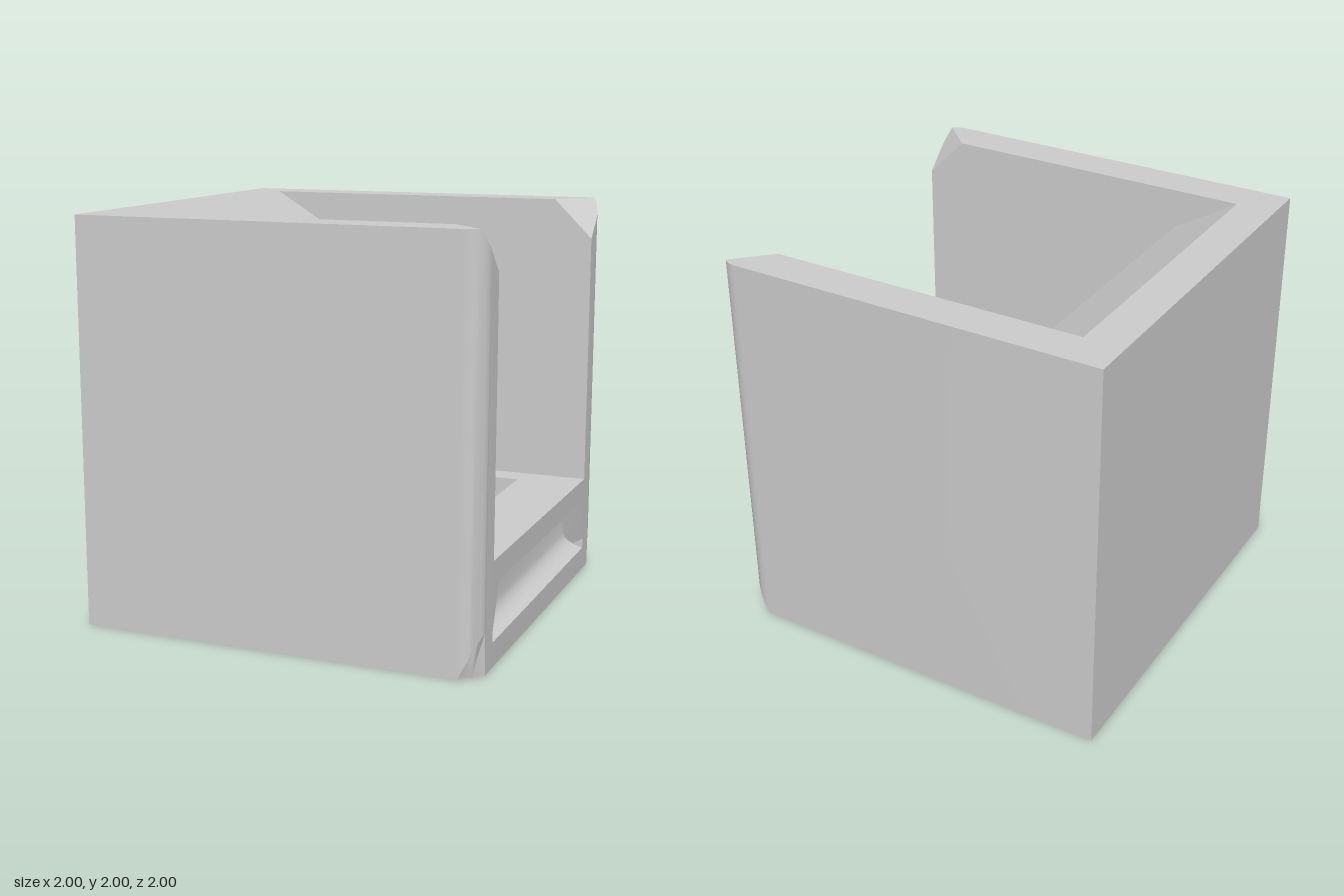
import * as THREE from 'three';
import { mergeGeometries, toCreasedNormals } from 'three/addons/utils/BufferGeometryUtils.js';

const shapeOf = (pts) => new THREE.Shape(pts.map(([a, b]) => new THREE.Vector2(a, b)));
const pathOf = (pts) => new THREE.Path(pts.map(([a, b]) => new THREE.Vector2(a, b)));
const rect = (x0, x1, h) => [[x0, -h], [x1, -h], [x1, h], [x0, h]];

function extrude(pts, depth, hole) {
  const shape = shapeOf(pts);
  if (hole) shape.holes.push(pathOf(hole));
  return new THREE.ExtrudeGeometry(shape, { depth, bevelEnabled: false });
}

// Side wall: plan pieces raised to full height, with a rounded front edge and a cut top corner
function wallGeometry() {
  const arc = (a0, a1) => Array.from({ length: 7 }, (_, i) => {
    const a = a0 + (a1 - a0) * i / 6;
    return [0.9 + 0.1 * Math.cos(a), 0.9 + 0.1 * Math.sin(a)];
  });
  const pieces = [
    [[-1, 0.8], [0.8, 0.8], [0.95, 0.95], [0.9, 1], [-1, 1]],
    [[0.8, 0.8], [1, 0.8], [1, 0.9], [0.95, 0.95]],
    [[0.95, 0.95], ...arc(0, Math.PI / 4)],
    [[0.95, 0.95], ...arc(Math.PI / 4, Math.PI / 2)],
  ].map((pts) => extrude(pts, 2).rotateX(-Math.PI / 2));
  const geo = mergeGeometries(pieces);
  const p = geo.attributes.position;
  for (let i = 0; i < p.count; i++) {
    const x = p.getX(i), z = -p.getZ(i);
    if (p.getY(i) > 1) p.setY(i, Math.min(2, 2 + z - x)); // sloped corner cut
    else if (x + z > 1.901) p.setY(i, 2 * (x - 0.9)); // small cut under the rounded edge
  }
  return toCreasedNormals(geo, 0.5);
}

// Trapezoid outline of the front groove, shrunk by an inset and a bottom rise
const trapezoid = (inset, rise) => [
  [-0.82 + inset * 1.2 + rise * 0.35, 0.12 + rise], [0.82 - inset * 1.2 - rise * 0.35, 0.12 + rise],
  [0.715 - inset, 0.39 - inset], [-0.715 + inset, 0.39 - inset],
];

// Groove lining: rings going inward, closed by a flat back
function grooveGeometry() {
  const rings = [[0, 0, 0], [0.04, 0.008, 0.01], [0.07, 0.016, 0.03], [0.09, 0.023, 0.055], [0.098, 0.03, 0.085]];
  const pos = [], idx = [];
  rings.forEach(([d, inset, rise], r) => {
    trapezoid(inset, rise).forEach(([u, y]) => pos.push(1 - d, y, -u));
    if (r === 0) return;
    for (let k = 0; k < 4; k++) {
      const a = (r - 1) * 4 + k, b = (r - 1) * 4 + (k + 1) % 4;
      idx.push(a, b, b + 4, a, b + 4, a + 4);
    }
  });
  const e = (rings.length - 1) * 4;
  idx.push(e, e + 1, e + 2, e, e + 2, e + 3);
  const geo = new THREE.BufferGeometry();
  geo.setAttribute('position', new THREE.Float32BufferAttribute(pos, 3));
  geo.setIndex(idx);
  return toCreasedNormals(geo, 0.7);
}

export function createModel() {
  const model = new THREE.Group();
  model.name = 'openBox';
  const grey = new THREE.MeshStandardMaterial({ color: 0xcccccc });
  const greyThin = new THREE.MeshStandardMaterial({ color: 0xcccccc, side: THREE.DoubleSide });
  const add = (name, geo, mat = grey) => {
    const mesh = new THREE.Mesh(geo, mat);
    mesh.name = name;
    model.add(mesh);
    return mesh;
  };

  // Two mirrored side walls
  const wall = wallGeometry();
  add('rearWall', wall);
  add('frontWall', wall).scale.z = -1;

  // Thick end wall with a sloped top
  add('endWall', extrude([[-1, 0], [-0.47, 0], [-0.47, 1.8], [-0.8, 2], [-1, 2]], 1.6).translate(0, 0, -0.8));

  // Floor layers with a stepped rectangular well
  const layers = [
    ['floorBottom', 0, 0.03, null],
    ['floorLowerStep', 0.03, 0.27, rect(0.05, 0.47, 0.455)],
    ['floorUpperStep', 0.27, 0.505, rect(-0.15, 0.67, 0.655)],
  ];
  for (const [name, y0, y1, hole] of layers) {
    add(name, extrude(rect(-0.47, 0.9, 0.8), y1 - y0, hole).rotateX(-Math.PI / 2).translate(0, y0, 0));
  }

  // Sill across the open side, with a trapezoid groove
  const sill = extrude([[-0.82, 0], [0.82, 0], [0.82, 0.12], [0.8, 0.505], [-0.8, 0.505], [-0.82, 0.12]]
    .map(([u, y]) => [Math.sign(u) * 0.83, y]), 0.1, trapezoid(0, 0));
  // keep the sill top inside the side walls
  add('sill', sill.rotateY(Math.PI / 2).translate(0.9, 0, 0));
  add('sillGroove', grooveGeometry(), greyThin);
  return model;
}
